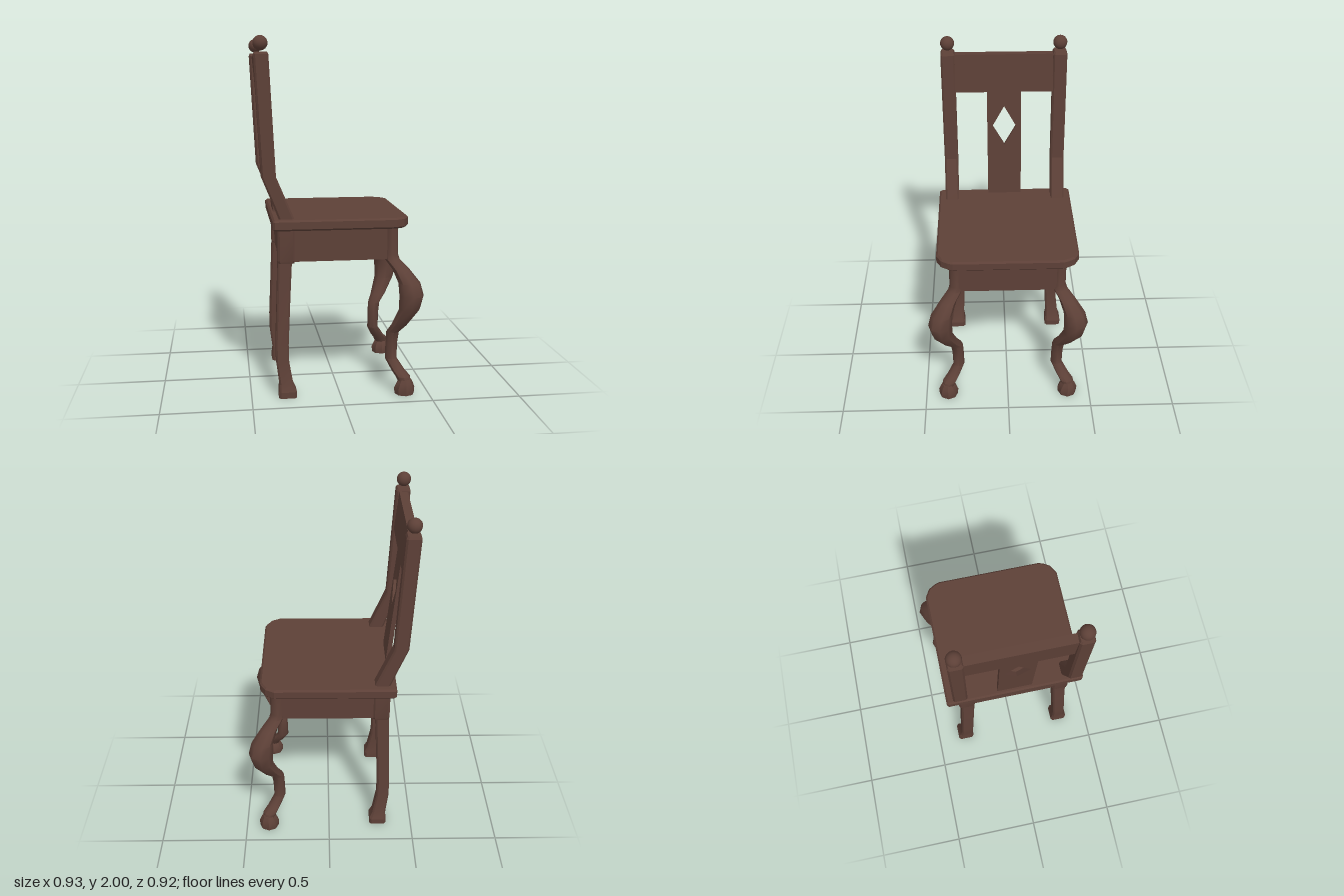
import * as THREE from 'three';
import { toCreasedNormals } from 'three/addons/utils/BufferGeometryUtils.js';

const wood = new THREE.MeshStandardMaterial({ color: 0x5d4037 });
wood.name = 'dark wood';

// Cross-sections: a regular octagon and a square with chamfered corners
const octagon = Array.from({ length: 8 }, (_, i) => [Math.cos(i * Math.PI / 4), Math.sin(i * Math.PI / 4)]);
const chamfered = [[1, -0.75], [1, 0.75], [0.75, 1], [-0.75, 1], [-1, 0.75], [-1, -0.75], [-0.75, -1], [0.75, -1]];

// Skin a section through rings of [y, x, z, halfX, halfZ], capping both ends
function loft(section, rings, crease) {
  const pos = [], idx = [], n = section.length;
  for (const [y, x, z, hx, hz = hx] of rings)
    for (const [a, b] of section) pos.push(x + a * hx, y, z + b * hz);
  for (let r = 0; r < rings.length - 1; r++)
    for (let i = 0; i < n; i++) {
      const a = r * n + i, b = r * n + (i + 1) % n;
      idx.push(a, a + n, b, b, a + n, b + n);
    }
  const top = (rings.length - 1) * n;
  for (let i = 1; i < n - 1; i++) idx.push(0, i, i + 1, top, top + i + 1, top + i);
  const geo = new THREE.BufferGeometry();
  geo.setAttribute('position', new THREE.Float32BufferAttribute(pos, 3));
  geo.setIndex(idx);
  return toCreasedNormals(geo, crease);
}

export function createModel() {
  const chair = new THREE.Group();
  chair.name = 'chair';
  const add = (name, geo, parent = chair) => {
    const mesh = new THREE.Mesh(geo, wood);
    mesh.name = name;
    parent.add(mesh);
    return mesh;
  };
  const box = (name, w, h, d, x, y, z, parent) =>
    add(name, new THREE.BoxGeometry(w, h, d), parent).position.set(x, y, z);

  // Seat with cut front corners and a small bevelled edge
  const b = 0.01, x0 = -0.375 + b, x1 = 0.385 - b, w = 0.4 - b;
  const half = [[x0, w - 0.005], [x0 + 0.005, w], [0.30, w], [0.345, w - 0.025], [0.366, w - 0.06], [x1, w - 0.085]];
  const outline = [...half.map(([x, z]) => [x, -z]), ...half.slice().reverse()];
  const seat = new THREE.ExtrudeGeometry(new THREE.Shape(outline.map(p => new THREE.Vector2(...p))), {
    depth: 0.06 - 2 * b, bevelEnabled: true, bevelThickness: b, bevelSize: b, bevelSegments: 1,
  });
  seat.rotateX(-Math.PI / 2).translate(0, 0.96 + b, 0);
  add('seat', seat);

  // Hollow apron frame under the seat
  box('frontApron', 0.03, 0.187, 0.57, 0.312, 0.8675, 0);
  box('backApron', 0.03, 0.187, 0.5, -0.315, 0.8675, 0);

  for (const s of [1, -1]) {
    const side = s > 0 ? 'left' : 'right';
    box(side + 'Apron', 0.55, 0.187, 0.03, 0.012, 0.8675, s * 0.307);

    // Front leg curves out along the diagonal: [y, offset, radius]
    const leg = [
      [0.07, 0.365, 0.036], [0.1, 0.357, 0.042], [0.13, 0.333, 0.038], [0.19, 0.298, 0.034], [0.28, 0.3, 0.034],
      [0.35, 0.306, 0.037], [0.4, 0.338, 0.046], [0.5, 0.384, 0.06], [0.58, 0.393, 0.069], [0.65, 0.382, 0.062],
      [0.72, 0.342, 0.048], [0.77, 0.3, 0.042], [0.8, 0.293, 0.04], [0.965, 0.293, 0.04],
    ];
    add(side + 'FrontLeg', loft(octagon, leg.map(([y, c, r]) => [y, c, s * c, r]), 0.9));
    const foot = [[0, 0.365, 0.056], [0.035, 0.365, 0.059], [0.065, 0.367, 0.046], [0.085, 0.368, 0.034]];
    add(side + 'FrontFoot', loft(octagon, foot.map(([y, c, r]) => [y, c, s * c, r]), 0.6));

    // Back leg bows backwards and splays to the sides, ending in a block at the apron
    add(side + 'BackLeg', loft(chamfered, [
      [0, -0.298, s * 0.32, 0.05], [0.035, -0.298, s * 0.32, 0.05], [0.075, -0.305, s * 0.316, 0.039],
      [0.2, -0.324, s * 0.306, 0.036], [0.3, -0.326, s * 0.302, 0.036], [0.55, -0.315, s * 0.289, 0.037],
      [0.78, -0.305, s * 0.278, 0.039],
    ], 0.3));
    add(side + 'BackBlock', loft(chamfered, [
      [0.765, -0.298, s * 0.283, 0.044], [0.78, -0.298, s * 0.283, 0.048], [0.965, -0.298, s * 0.283, 0.048],
    ], 0.3));

    // Back post and its ball finial
    add(side + 'BackPost', loft(chamfered, [
      [0.98, -0.283, s * 0.32, 0.043, 0.04], [1.02, -0.298, s * 0.32, 0.043, 0.04], [1.1, -0.33, s * 0.32, 0.041, 0.04],
      [1.25, -0.392, s * 0.32, 0.04], [1.9, -0.425, s * 0.32, 0.04], [1.915, -0.425, s * 0.32, 0.033],
    ], 0.3));
    add(side + 'Finial', new THREE.SphereGeometry(0.04, 16, 12)).position.set(-0.427, 1.96, s * 0.32);
  }

  // Leaning back: a top rail and a splat pierced by a diamond
  const back = new THREE.Group();
  back.name = 'backPanel';
  back.position.set(-0.342, 1.02, 0);
  back.rotation.z = 0.095;
  chair.add(back);
  box('topRail', 0.05, 0.225, 0.57, 0, 0.77, 0, back);
  const polygon = (C, pts) => new C(pts.map(p => new THREE.Vector2(...p)));
  const splat = polygon(THREE.Shape, [[-0.1, -0.02], [0.1, -0.02], [0.1, 0.67], [-0.1, 0.67]]);
  splat.holes.push(polygon(THREE.Path, [[-0.07, 0.44], [0, 0.565], [0.07, 0.44], [0, 0.32]]));
  const splatGeo = new THREE.ExtrudeGeometry(splat, { depth: 0.025, bevelEnabled: false });
  add('splat', splatGeo.translate(0, 0, -0.0125).rotateY(Math.PI / 2), back);

  return chair;
}
